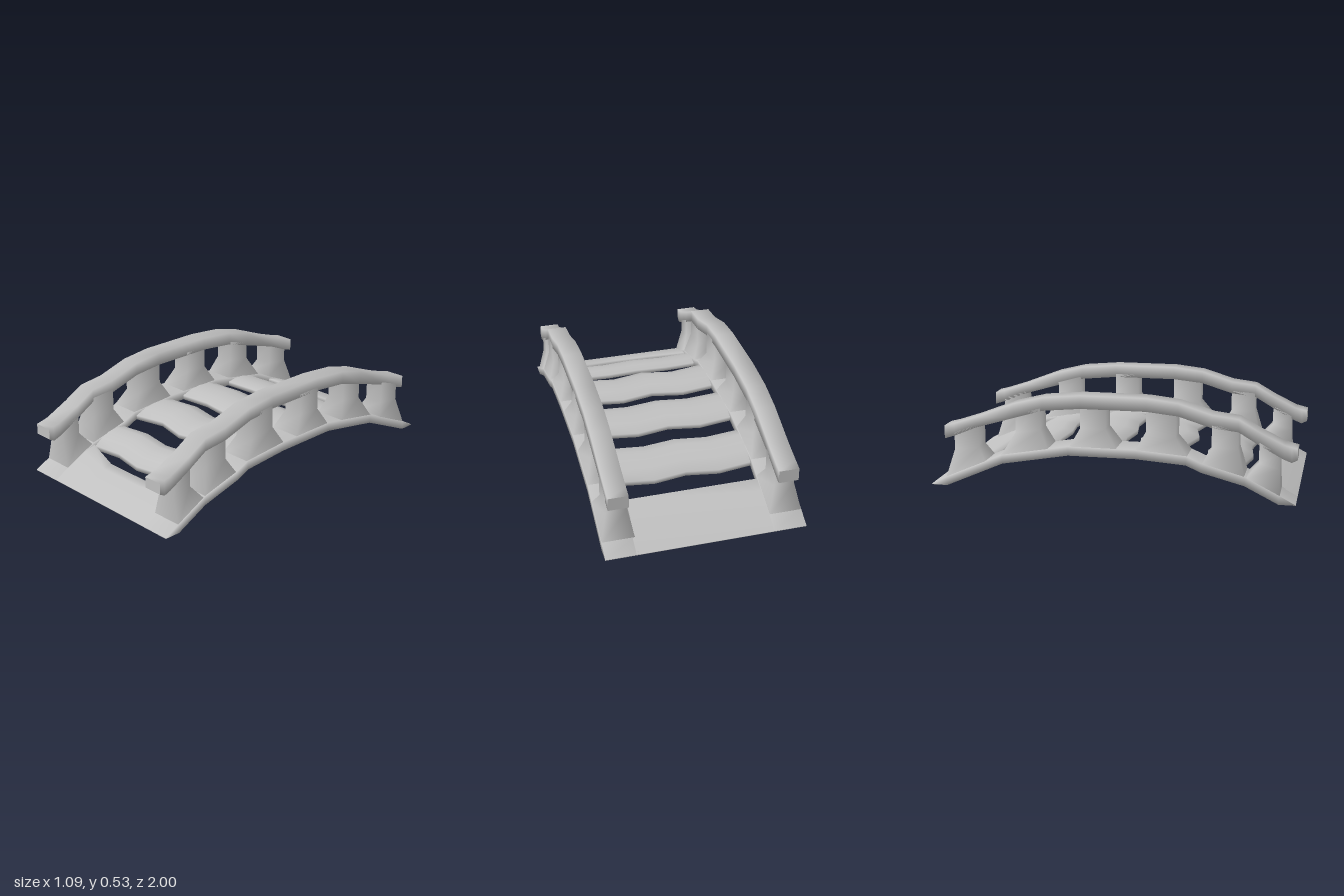
import * as THREE from 'three';

// Underside of the arched deck: [z, y], front to back
const ARCH = [[1, 0], [0.91, 0], [0.73, 0.09], [0.5, 0.15], [0.42, 0.185], [0.15, 0.205],
  [-0.22, 0.205], [-0.59, 0.14], [-0.91, 0], [-1, 0]];

function under(z) {
  for (let i = 1; i < ARCH.length; i++) {
    const [z0, y0] = ARCH[i - 1], [z1, y1] = ARCH[i];
    if (z >= z1) return y0 + (y1 - y0) * (z0 - z) / (z0 - z1);
  }
  return 0;
}

// Smooth skin over rings of points, with flat end caps
function loft(rings) {
  const n = rings[0].length, pos = rings.flat(2), index = [];
  for (let i = 0; i < rings.length - 1; i++) {
    for (let j = 0; j < n; j++) {
      const a = i * n + j, b = i * n + (j + 1) % n;
      index.push(a, b, b + n, a, b + n, a + n);
    }
  }
  const first = pos.length / 3, last = first + n;
  pos.push(...rings[0].flat(), ...rings[rings.length - 1].flat());
  for (let j = 1; j < n - 1; j++) {
    index.push(first, first + j + 1, first + j, last, last + j, last + j + 1);
  }
  const g = new THREE.BufferGeometry();
  g.setAttribute('position', new THREE.Float32BufferAttribute(pos, 3));
  g.setIndex(index);
  g.computeVertexNormals();
  return g;
}

// Beam running front to back; sections are [z, bottom, top]
const beam = (sections, w) => loft(sections.map(([z, b, t]) =>
  [[-w, b, z], [-w, t, z], [w, t, z], [w, b, z]]));

// Post rising in y; levels are [halfWidth, frontZ, frontY, backZ, backY]
const post = (levels) => loft(levels.map(([w, fz, fy, bz, by]) =>
  [[w, fy, fz], [w, by, bz], [-w, by, bz], [-w, fy, fz]]));

// Slat running across x; stations are [x, frontZ, backZ]
const slat = (stations) => loft(stations.map(([x, f, b]) => {
  const at = (t, h) => { const z = b + (f - b) * t; return [x, under(z) + h, z]; };
  return [at(0, 0), at(0, 0.025), at(0.25, 0.047), at(0.5, 0.052), at(0.75, 0.047),
    at(1, 0.025), at(1, 0), at(0.5, 0)];
}));

// End ramp running across x, from the ground edge (sign 1 front, -1 back) inward;
// stations are [x, innerZ]
const ramp = (sign, stations) => loft(stations.map(([x, z]) => {
  const foot = 0.91 * sign, mid = foot + (z - foot) * 0.6;
  const ring = [[x, 0, sign], [x, 0, foot], [x, under(z), z], [x, under(z) + 0.035, z],
    [x, under(mid) + 0.05, mid], [x, 0.05, foot], [x, 0.003, sign]];
  return sign < 0 ? ring.reverse() : ring;
}));

export function createModel() {
  const model = new THREE.Group();
  model.name = 'footbridge';
  const stone = new THREE.MeshStandardMaterial({ color: 0xc0c0c0 });
  stone.name = 'pale grey';
  const add = (name, geometry, x = 0) => {
    const m = new THREE.Mesh(geometry, stone);
    m.name = name;
    m.position.x = x;
    model.add(m);
  };

  const rail = beam([[1, 0.235, 0.295], [0.97, 0.22, 0.302], [0.93, 0.235, 0.312], [0.8, 0.305, 0.375],
    [0.69, 0.37, 0.438], [0.55, 0.385, 0.455], [0.37, 0.44, 0.51], [0.2, 0.457, 0.529], [-0.16, 0.457, 0.529],
    [-0.37, 0.437, 0.51], [-0.53, 0.39, 0.47], [-0.75, 0.325, 0.385], [-0.87, 0.275, 0.345],
    [-0.927, 0.257, 0.33]], 0.055);

  // Side beams taper to nothing at both ends
  const sideBeam = beam(ARCH.map(([z, y]) => [z, y, y + (Math.abs(z) === 1 ? 0.003 : 0.05)]), 0.09);

  // Posts as [foot, waist, head], each frontZ, frontY, backZ, backY
  const posts = [
    [[0.915, 0.04, 0.735, 0.13], [0.91, 0.18, 0.80, 0.21], [0.91, 0.26, 0.80, 0.32]],
    [[0.73, 0.13, 0.50, 0.19], [0.69, 0.28, 0.55, 0.28], [0.69, 0.39, 0.55, 0.40]],
    [[0.43, 0.225, 0.145, 0.25], [0.36, 0.32, 0.20, 0.35], [0.36, 0.46, 0.20, 0.475]],
    [[0.045, 0.25, -0.215, 0.25], [-0.02, 0.35, -0.16, 0.35], [-0.02, 0.475, -0.16, 0.475]],
    [[-0.33, 0.225, -0.60, 0.18], [-0.38, 0.33, -0.52, 0.31], [-0.38, 0.45, -0.52, 0.41]],
    [[-0.685, 0.14, -0.915, 0.04], [-0.73, 0.215, -0.87, 0.2], [-0.73, 0.345, -0.87, 0.295]],
  ].map((levels) => post(levels.map((l, i) => [i ? 0.055 : 0.09, ...l])));

  for (const [side, x] of [['left', 0.455], ['right', -0.455]]) {
    add(side + 'Handrail', rail, x);
    add(side + 'SideBeam', sideBeam, x);
    posts.forEach((p, i) => add(side + 'Post' + (i + 1), p, x));
  }

  // Wavy slats: front and back edge z at the ends, shoulders and middle
  [[[0.72, 0.51], [0.70, 0.49], [0.725, 0.51]],
    [[0.415, 0.14], [0.375, 0.11], [0.415, 0.145]],
    [[0.05, -0.22], [0.03, -0.245], [0.055, -0.22]],
    [[-0.33, -0.585], [-0.35, -0.605], [-0.33, -0.585]],
  ].forEach(([end, shoulder, mid], i) => add('slat' + (i + 1), slat([
    [-0.38, ...end], [-0.18, ...shoulder], [0, ...mid], [0.18, ...shoulder], [0.38, ...end]])));

  // Ramps at both ends of the deck
  add('frontRamp', ramp(1, [[-0.38, 0.72], [-0.15, 0.78], [0.15, 0.78], [0.38, 0.72]]));
  add('backRamp', ramp(-1, [[-0.38, -0.695], [0.38, -0.695]]));
  return model;
}
